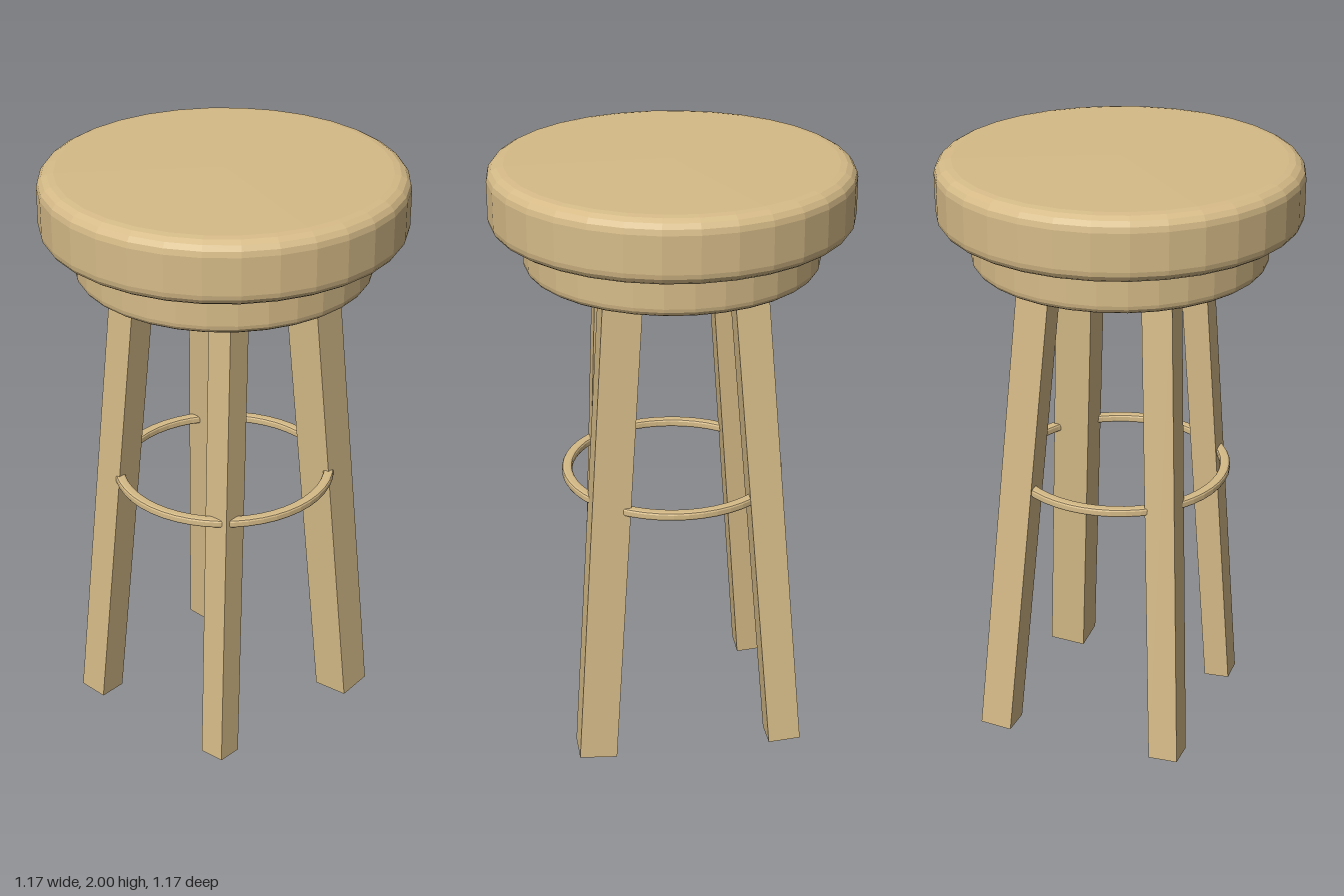
import * as THREE from 'three';

const wood = new THREE.MeshStandardMaterial({ color: 0xd6bb88, flatShading: true });

// Rounded corner points, from angle a0 to a1 around (cx, cy)
function corner(cx, cy, rx, ry, a0, a1, steps = 4) {
  const pts = [];
  for (let i = 0; i <= steps; i++) {
    const a = THREE.MathUtils.degToRad(a0 + ((a1 - a0) * i) / steps);
    pts.push(new THREE.Vector2(cx + rx * Math.cos(a), cy + ry * Math.sin(a)));
  }
  return pts;
}

function turned(name, points, segments) {
  const mesh = new THREE.Mesh(new THREE.LatheGeometry(points, segments), wood);
  mesh.name = name;
  return mesh;
}

// Square leg between two points, tilted along its own axis
function leg(name, width, bottom, top) {
  const a = new THREE.Vector3(...bottom);
  const b = new THREE.Vector3(...top);
  const dir = b.clone().sub(a);
  const mesh = new THREE.Mesh(new THREE.BoxGeometry(width, dir.length(), width), wood);
  mesh.position.copy(a).add(b).multiplyScalar(0.5);
  mesh.quaternion.setFromUnitVectors(new THREE.Vector3(0, 1, 0), dir.normalize());
  mesh.name = name;
  return mesh;
}

export function createModel() {
  const stool = new THREE.Group();
  stool.name = 'stool';

  // Thick round seat with softened rims
  stool.add(turned('seat', [
    new THREE.Vector2(0, 1.79),
    ...corner(0.545, 1.83, 0.04, 0.04, -90, 0),
    ...corner(0.53, 1.95, 0.055, 0.047, 0, 90),
    new THREE.Vector2(0, 2),
  ], 32));

  // Smaller drum under the seat
  stool.add(turned('seatBase', [
    new THREE.Vector2(0, 1.65),
    ...corner(0.448, 1.68, 0.03, 0.03, -90, 0),
    new THREE.Vector2(0.478, 1.8),
    new THREE.Vector2(0, 1.8),
  ], 32));

  // Four splayed legs, each hewn a little differently
  stool.add(
    leg('frontLeftLeg', 0.126, [0.295, 0.008, 0.305], [0.205, 1.68, 0.19]),
    leg('frontRightLeg', 0.088, [-0.302, 0.013, 0.235], [-0.195, 1.68, 0.185]),
    leg('backLeftLeg', 0.108, [0.318, 0.023, -0.335], [0.19, 1.68, -0.213]),
    leg('backRightLeg', 0.1, [-0.288, 0.018, -0.33], [-0.208, 1.68, -0.2]),
  );

  // Foot ring running through the legs
  const ring = [
    ...corner(0.362, 0.912, 0.009, 0.007, -90, 0, 2),
    ...corner(0.362, 0.926, 0.009, 0.007, 0, 90, 2),
    ...corner(0.346, 0.926, 0.009, 0.007, 90, 180, 2),
    ...corner(0.346, 0.912, 0.009, 0.007, 180, 270, 2),
  ];
  ring.push(ring[0].clone());
  stool.add(turned('footRing', ring, 48));

  return stool;
}
